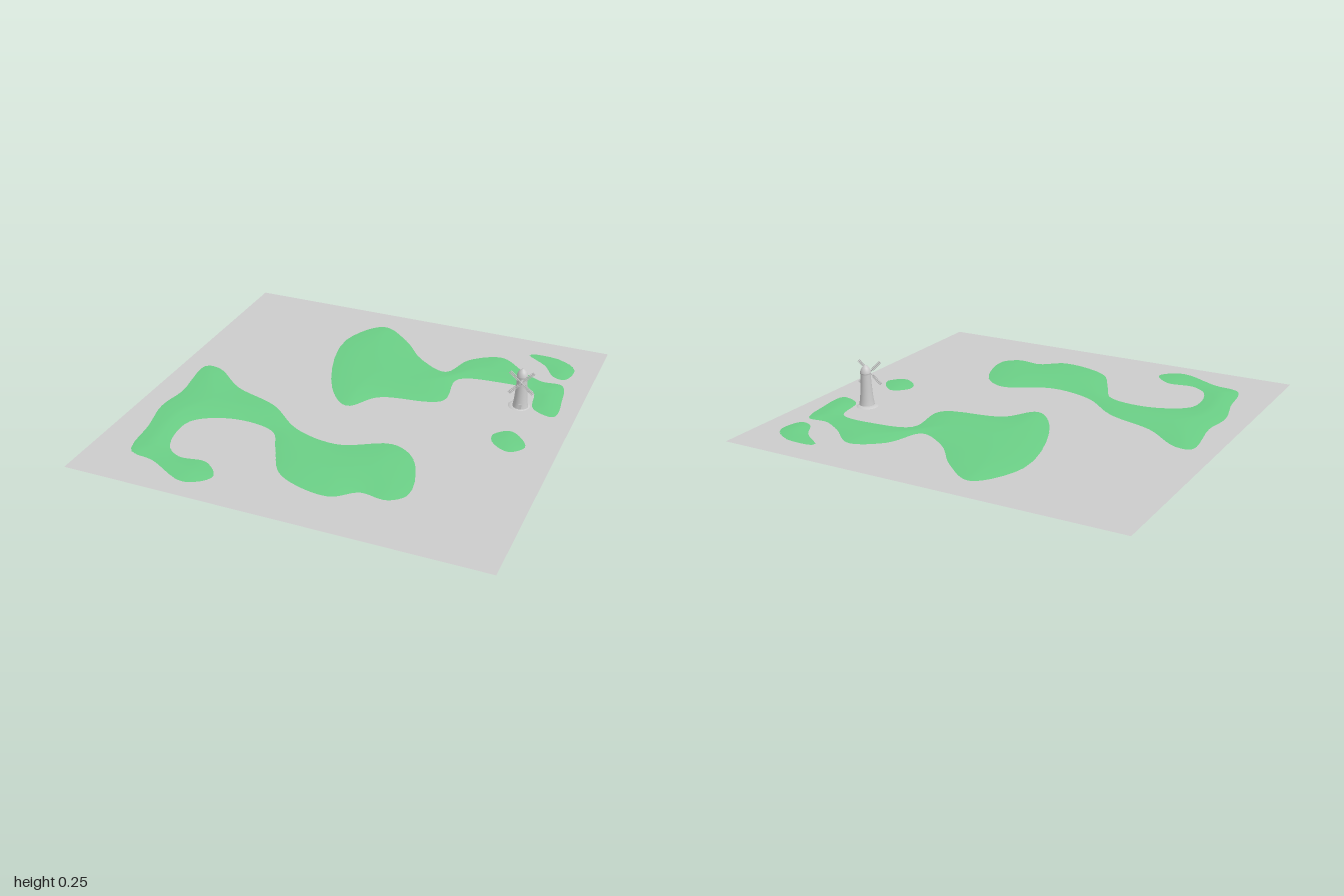
import * as THREE from 'three';

const WATER = 0.029;
const grey = new THREE.MeshStandardMaterial({ color: 0xcccccc, side: THREE.DoubleSide });
const green = new THREE.MeshStandardMaterial({ color: 0x6bcf86, side: THREE.DoubleSide });

// A smooth closed shoreline through a few x, z points
function shore(...flat) {
  const points = [];
  for (let i = 0; i < flat.length; i += 2) points.push(new THREE.Vector3(flat[i], 0, flat[i + 1]));
  return new THREE.CatmullRomCurve3(points, true).getPoints(points.length * 5);
}

const shores = [
  // back island
  shore(-0.33, -0.62, -0.2, -0.85, -0.03, -0.74, 0.12, -0.57, 0.28, -0.49, 0.35, -0.66, 0.5, -0.75,
    0.65, -0.64, 0.76, -0.58, 0.86, -0.58, 0.9, -0.42, 0.9, -0.26, 0.79, -0.3, 0.74, -0.47,
    0.55, -0.49, 0.36, -0.44, 0.36, -0.2, 0.06, -0.12, -0.05, 0.02, -0.19, -0.12),
  // corner islet and round islet
  shore(0.62, -0.84, 0.77, -0.85, 0.88, -0.77, 0.86, -0.64, 0.8, -0.65, 0.73, -0.75),
  shore(0.68, 0, 0.75, -0.06, 0.85, 0.05, 0.79, 0.12, 0.7, 0.07),
  // front island
  shore(-0.88, -0.08, -0.8, -0.08, -0.62, 0.06, -0.38, 0.15, -0.18, 0.31, 0.05, 0.36, 0.28, 0.26,
    0.41, 0.34, 0.49, 0.62, 0.42, 0.69, 0.29, 0.68, 0.18, 0.76, -0.08, 0.69, -0.2, 0.5,
    -0.28, 0.37, -0.5, 0.34, -0.68, 0.44, -0.66, 0.66, -0.57, 0.73, -0.44, 0.72, -0.35, 0.82,
    -0.45, 0.9, -0.67, 0.8, -0.8, 0.77, -0.84, 0.55, -0.88, 0.36, -0.86, 0.2),
];

// Distance to the nearest shore: positive on land, negative under water
function shoreDistance(x, z) {
  let nearest = Infinity;
  let inside = false;
  for (const line of shores) {
    for (let i = 0; i < line.length - 1; i++) {
      const a = line[i], b = line[i + 1];
      const dx = b.x - a.x, dz = b.z - a.z;
      const t = THREE.MathUtils.clamp(((x - a.x) * dx + (z - a.z) * dz) / (dx * dx + dz * dz), 0, 1);
      nearest = Math.min(nearest, Math.hypot(x - a.x - t * dx, z - a.z - t * dz));
      if ((a.z > z) !== (b.z > z) && x < a.x + (dx * (z - a.z)) / dz) inside = !inside;
    }
  }
  return inside ? nearest : -nearest;
}

// Gentle hills and shallows, sinking at the corners of the sheet
function landHeight(x, z) {
  const d = shoreDistance(x, z);
  const relief = Math.sign(d) * (d > 0 ? 0.011 : 0.01) * (1 - Math.exp(-Math.abs(d) / 0.1));
  const corner = THREE.MathUtils.smoothstep(Math.hypot(x, z), 1.05, 1.3);
  const sink = d > 0 ? 0 : corner * (x < 0 && z > 0 ? 0.025 : 0.009) * Math.min(1, -d / 0.04);
  return Math.max(0, WATER + relief - sink);
}

function createLand() {
  const geometry = new THREE.PlaneGeometry(1.84, 1.84, 100, 100).rotateX(-Math.PI / 2);
  const p = geometry.attributes.position;
  for (let i = 0; i < p.count; i++) p.setY(i, landHeight(p.getX(i), p.getZ(i)));
  geometry.computeVertexNormals();
  const land = new THREE.Mesh(geometry, green);
  land.name = 'land';
  return land;
}

function add(parent, name, geometry, x = 0, y = 0, z = 0) {
  const mesh = new THREE.Mesh(geometry, grey);
  mesh.name = name;
  mesh.position.set(x, y, z);
  parent.add(mesh);
  return mesh;
}

function lathe(...profile) {
  return new THREE.LatheGeometry(profile.map(([r, y]) => new THREE.Vector2(r, y)), 24);
}

function createWindmill() {
  const mill = new THREE.Group();
  mill.name = 'windmill';
  add(mill, 'mound', lathe([0.058, -0.004], [0.05, 0.003], [0.036, 0.006], [0, 0.007]), -0.006, 0, -0.008);
  add(mill, 'tower', lathe([0.039, 0], [0.037, 0.012], [0.033, 0.035], [0.029, 0.08], [0.026, 0.125], [0.024, 0.165]));
  add(mill, 'gallery', new THREE.CylinderGeometry(0.027, 0.026, 0.006, 24), 0, 0.165, 0);
  add(mill, 'cap', lathe([0.027, 0.168], [0.025, 0.18], [0.018, 0.194], [0.008, 0.203], [0, 0.206]));
  add(mill, 'axle', new THREE.CylinderGeometry(0.004, 0.004, 0.045, 10).rotateX(Math.PI / 2), 0, 0.155, 0.03);
  add(mill, 'door', new THREE.BoxGeometry(0.014, 0.028, 0.005), 0, 0.018, 0.036);

  // Four lattice sails in a diagonal cross
  const sails = new THREE.Group();
  sails.name = 'sails';
  sails.position.set(0, 0.155, 0.048);
  add(sails, 'hub', new THREE.SphereGeometry(0.006, 12, 8));
  for (let i = 0; i < 4; i++) {
    const sail = new THREE.Group();
    sail.name = 'sail';
    sail.rotation.z = Math.PI / 4 + (i * Math.PI) / 2;
    add(sail, 'spar', new THREE.BoxGeometry(0.004, 0.08, 0.004), 0, 0.04, 0);
    for (const x of [-0.007, 0.007]) add(sail, 'rail', new THREE.BoxGeometry(0.002, 0.058, 0.002), x, 0.051, 0);
    for (let k = 0; k < 8; k++) add(sail, 'slat', new THREE.BoxGeometry(0.016, 0.003, 0.002), 0, 0.023 + k * 0.008, 0);
    sails.add(sail);
  }
  mill.add(sails);
  mill.position.set(0.725, WATER, -0.3);
  mill.rotation.y = 0.21;
  return mill;
}

export function createModel() {
  const model = new THREE.Group();
  add(model, 'water', new THREE.PlaneGeometry(2, 2).rotateX(-Math.PI / 2), 0, WATER, 0);
  model.add(createLand(), createWindmill());
  return model;
}
